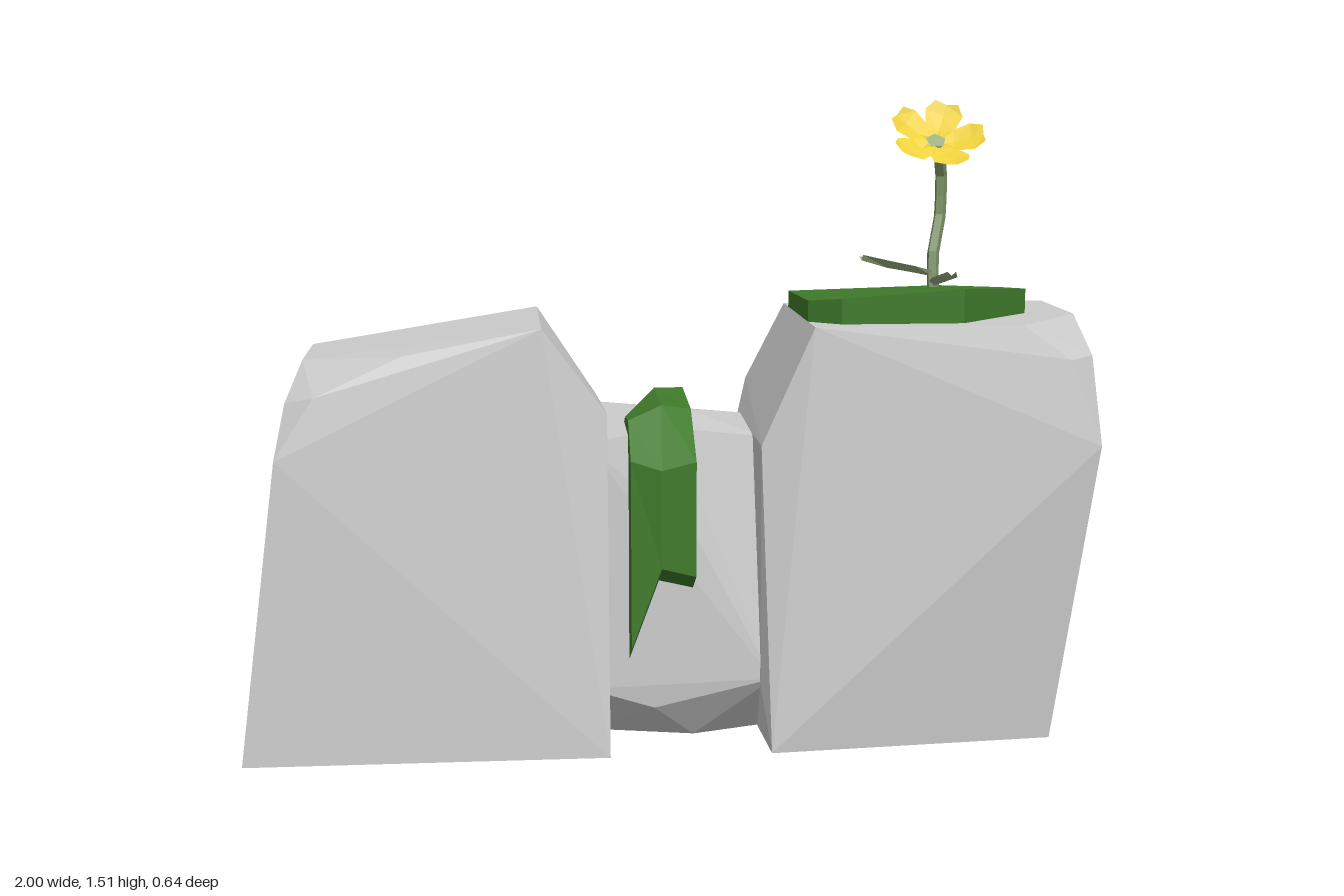
import * as THREE from 'three';
import { ConvexGeometry } from 'three/addons/geometries/ConvexGeometry.js';

const mat = (color) => new THREE.MeshStandardMaterial({ color, flatShading: true, side: THREE.DoubleSide });
const V = (p) => new THREE.Vector3(...p);

function add(parent, name, geometry, material) {
  const mesh = new THREE.Mesh(geometry, material);
  mesh.name = name;
  parent.add(mesh);
  return mesh;
}

// Faceted solid wrapped round a few corner points
const hull = (points) => new ConvexGeometry(points.map(V));

// Thick bent sheet: each row holds [x, y, z] points across its width
function sheet(rows, dy, dz) {
  const pos = [], index = [], w = rows[0].length, n = rows.length * w;
  for (const s of [0, 1]) for (const row of rows) for (const [x, y, z] of row) pos.push(x, y - s * dy, z - s * dz);
  const quad = (a, b, c, d) => index.push(a, b, c, a, c, d);
  for (let r = 0; r < rows.length - 1; r++) {
    for (let c = 0; c < w - 1; c++) {
      const a = r * w + c;
      quad(a, a + w, a + w + 1, a + 1);
      quad(n + a, n + a + 1, n + a + w + 1, n + a + w);
    }
    const l = r * w, e = l + w - 1;
    quad(l, n + l, n + l + w, l + w);
    quad(e, e + w, n + e + w, n + e);
  }
  for (let c = 0; c < w - 1; c++) {
    const b = n - w + c;
    quad(c, c + 1, n + c + 1, n + c);
    quad(b, n + b, n + b + 1, b + 1);
  }
  const g = new THREE.BufferGeometry();
  g.setAttribute('position', new THREE.Float32BufferAttribute(pos, 3));
  g.setIndex(index);
  g.computeVertexNormals();
  return g;
}

// Thin blade along +z from cross-sections [distance, half width, height], creased by fold
function blade(sections, fold) {
  const pos = [], index = [];
  sections.forEach(([z, w, y], i) => {
    pos.push(-w, y + fold, z, 0, y, z, w, y + fold, z);
    if (!i) return;
    for (const c of [0, 1]) {
      const a = (i - 1) * 3 + c;
      index.push(a, a + 3, a + 4, a, a + 4, a + 1);
    }
  });
  const g = new THREE.BufferGeometry();
  g.setAttribute('position', new THREE.Float32BufferAttribute(pos, 3));
  g.setIndex(index);
  g.computeVertexNormals();
  return g;
}

export function createModel() {
  const model = new THREE.Group();
  model.name = 'mossyRocks';
  const stone = mat(0xcccccc);
  stone.side = THREE.FrontSide;
  const moss = mat(0x3f7a2a), stemGreen = mat(0x7d9468), leafGreen = mat(0x9bad80), yellow = mat(0xeed13c);

  // Rounded rock, undercut at its inner back corner
  add(model, 'rightRock', hull([
    [-1, 0, 0.32], [-0.15, 0, 0.32], [-1, 0, -0.32], [-0.65, 0, -0.32], [-0.15, 0, -0.12], [-0.15, 0.3, -0.295],
    [-0.91, 0.71, 0.29], [-0.89, 0.83, 0.2], [-0.82, 0.85, 0.265], [-0.62, 0.94, 0.24],
    [-0.86, 0.91, 0.05], [-0.86, 0.91, -0.23], [-0.3, 1, 0.24], [-0.3, 1, -0.23],
    [-0.15, 0.8, 0.23], [-0.15, 0.77, -0.25],
  ]), stone);

  // Low rock between the two big ones
  add(model, 'middleRock', hull([
    [-0.2, 0, -0.23], [0.24, 0, -0.23], [-0.2, 0.76, -0.23], [0.24, 0.72, -0.23],
    [-0.2, 0.73, 0.22], [0, 0.76, 0.2], [0.06, 0.77, 0], [0.06, 0.5, 0.23], [0.24, 0.71, 0.06],
    [0.24, 0.16, 0.25], [-0.2, 0.14, 0.23], [-0.04, 0.09, 0.23], [0.06, 0, 0.16], [-0.2, 0, 0.1], [0.24, 0, 0.1],
  ]), stone);

  // Flat-topped rock that carries the flower
  add(model, 'leftRock', hull([
    [0.23, 0, 0.32], [0.91, 0, 0.26], [0.91, 0, -0.32], [0.23, 0, -0.31],
    [0.21, 0.15, 0.25], [0.21, 0.72, 0.24], [0.21, 0.72, -0.23], [0.21, 0, -0.23],
    [0.24, 0.8, -0.31], [0.91, 0.8, -0.31], [1, 0.72, 0.31], [1, 0.72, -0.27],
    [0.93, 0.92, 0.28], [1, 0.92, 0.21], [0.33, 1, 0.26], [0.82, 1, 0.26],
    [1, 1, 0.04], [1, 1, -0.25], [0.33, 1, -0.25],
  ]), stone);

  // Moss pad with a flap hanging over the back edge
  const pad = [
    [0.33, 1.04, -0.17], [0.69, 1.03, -0.315], [0.885, 1.04, -0.21], [0.885, 1.06, 0.02],
    [0.69, 1.08, 0.21], [0.4, 1.06, 0.21], [0.33, 1.05, 0.15], [0.69, 1.06, -0.08],
  ];
  add(model, 'mossPad', hull([...pad, ...pad.slice(0, 7).map(([x, , z]) => [x, 0.985, z])]), moss);
  add(model, 'mossFlap', hull([
    [0.57, 1.02, -0.27], [0.84, 1.02, -0.24], [0.6, 0.93, -0.315], [0.8, 0.92, -0.315],
    [0.69, 1.02, -0.315], [0.6, 0.93, -0.24], [0.8, 0.92, -0.24],
  ]), moss);

  // Moss hanging over the front of the middle rock
  add(model, 'hangingMoss', sheet([
    [[-0.1, 0.77, 0.1], [-0.02, 0.82, -0.03], [0.05, 0.82, -0.03]],
    [[-0.1, 0.78, 0.21], [-0.02, 0.81, 0.18], [0.05, 0.8, 0.18]],
    [[-0.1, 0.7, 0.3], [-0.03, 0.68, 0.32], [0.05, 0.7, 0.32]],
    [[-0.1, 0.26, 0.32], [-0.03, 0.45, 0.32], [0.05, 0.43, 0.32]],
  ], 0.05, 0.09), moss);

  // Flower: bent stem, two leaves and a tilted head of five petals
  const flower = new THREE.Group();
  flower.name = 'flower';
  model.add(flower);
  const path = new THREE.CatmullRomCurve3([
    [0.66, 1.05, 0.005], [0.66, 1.14, -0.01], [0.685, 1.24, -0.05], [0.685, 1.34, -0.05], [0.665, 1.41, 0],
  ].map(V), false, 'catmullrom', 0.2);
  add(flower, 'stem', new THREE.TubeGeometry(path, 8, 0.015, 5), stemGreen);

  const leafShape = [[0, 0.008, 0], [0.06, 0.022, 0.012], [0.13, 0.03, 0.025], [0.2, 0.01, 0.045]];
  const frontLeaf = add(flower, 'frontLeaf', blade(leafShape, 0.01), leafGreen);
  frontLeaf.position.set(0.66, 1.065, 0);
  const sideLeaf = add(flower, 'sideLeaf', blade(leafShape, 0.012), leafGreen);
  sideLeaf.position.set(0.66, 1.09, 0);
  sideLeaf.rotation.set(0, -Math.PI / 2 + 0.28, 0.2);
  sideLeaf.scale.z = 0.95;

  const head = new THREE.Group();
  head.name = 'flowerHead';
  head.position.set(0.655, 1.41, 0.015);
  head.rotation.x = 0.7;
  flower.add(head);
  const petalShape = [[0.005, 0.01, 0], [0.045, 0.036, 0.006], [0.085, 0.046, 0.02], [0.112, 0.028, 0.032]];
  for (let i = 0; i < 5; i++) {
    const petal = add(head, 'petal', blade(petalShape, 0.008), yellow);
    petal.rotation.y = Math.PI - 0.35 + (i * Math.PI * 2) / 5;
  }
  const heart = add(head, 'flowerCentre', new THREE.ConeGeometry(0.025, 0.03, 5), leafGreen);
  heart.rotation.x = Math.PI;
  heart.position.y = -0.004;

  return model;
}
